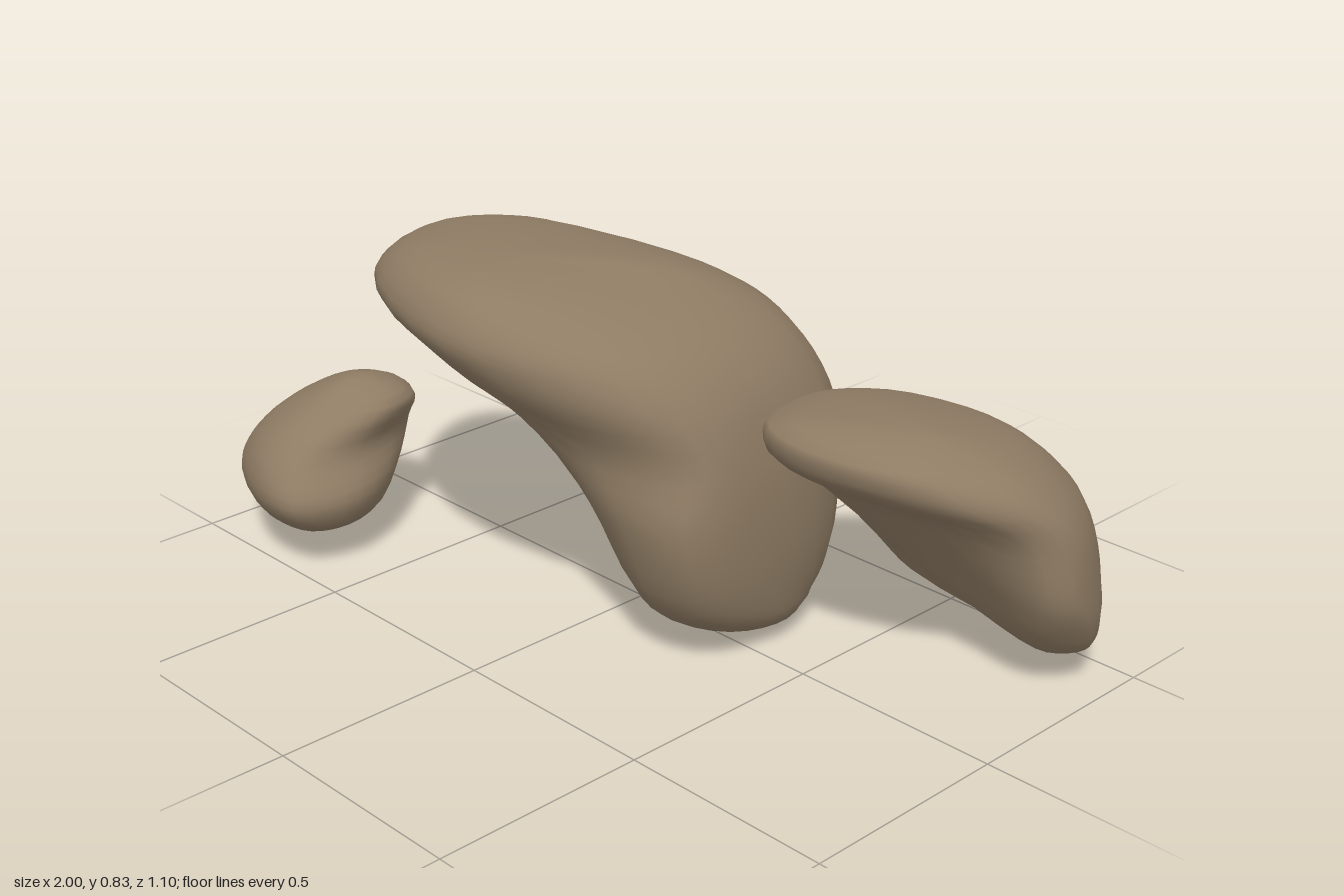
import * as THREE from 'three';

const AROUND = 32; // points round each ring, even
const STEPS = 4;   // rows between neighbouring rings

// Smooth boulder through level rings: [height, eight x,z pairs running right, front, left, back].
function boulderGeometry(top, rings, bottom) {
  const loops = rings.map(([y, ...xz]) => {
    const pts = [];
    for (let i = 0; i < xz.length; i += 2) pts.push(new THREE.Vector3(xz[i], y, xz[i + 1]));
    const curve = new THREE.CatmullRomCurve3(pts, true);
    return Array.from({ length: AROUND }, (_, i) => curve.getPoint(i / AROUND));
  });
  const topPole = new THREE.Vector3(...top);
  const bottomPole = new THREE.Vector3(...bottom);
  const rows = (rings.length + 1) * STEPS;

  // Closed meridians pass over both poles, so the ends stay round
  const columns = [];
  for (let i = 0; i < AROUND / 2; i++) {
    const down = loops.map((l) => l[i]);
    const up = loops.map((l) => l[i + AROUND / 2]).reverse();
    const meridian = new THREE.CatmullRomCurve3([topPole, ...down, bottomPole, ...up], true);
    columns[i] = [];
    columns[i + AROUND / 2] = [];
    for (let k = 0; k <= rows; k++) {
      columns[i][k] = meridian.getPoint(k / (2 * rows));
      columns[i + AROUND / 2][k] = meridian.getPoint((1 - k / (2 * rows)) % 1);
    }
  }

  // One vertex at each pole, full rows between
  const points = [topPole];
  for (let k = 1; k < rows; k++) for (let i = 0; i < AROUND; i++) points.push(columns[i][k]);
  points.push(bottomPole);
  const id = (i, k) => {
    if (k === 0) return 0;
    if (k === rows) return points.length - 1;
    return 1 + (k - 1) * AROUND + (i % AROUND);
  };
  const index = [];
  for (let k = 0; k < rows; k++) {
    for (let i = 0; i < AROUND; i++) {
      const a = id(i, k), b = id(i + 1, k), c = id(i, k + 1), d = id(i + 1, k + 1);
      if (k > 0) index.push(a, b, c);
      if (k < rows - 1) index.push(b, d, c);
    }
  }
  const geometry = new THREE.BufferGeometry().setFromPoints(points);
  geometry.setIndex(index);
  geometry.computeVertexNormals();
  return geometry;
}

export function createModel() {
  const group = new THREE.Group();
  group.name = 'boulders';
  const stone = new THREE.MeshStandardMaterial({ color: 0x8f7c64 });
  stone.name = 'brown stone';

  const add = (name, top, rings, bottom) => {
    const mesh = new THREE.Mesh(boulderGeometry(top, rings, bottom), stone);
    mesh.name = name;
    group.add(mesh);
  };

  // Large boulder: overhangs at the front left, hollow beneath
  add('largeBoulder', [-0.2, 0.83, 0.23], [
    [0.80, 0.05, 0.07, 0.02, 0.27, -0.13, 0.41, -0.44, 0.31, -0.53, 0.09, -0.42, -0.04, -0.2, -0.07, 0.03, -0.05],
    [0.72, 0.25, 0.03, 0.2, 0.3, -0.13, 0.46, -0.53, 0.32, -0.66, 0.04, -0.47, -0.15, -0.22, -0.26, 0.14, -0.21],
    [0.63, 0.34, 0.02, 0.29, 0.28, -0.06, 0.42, -0.44, 0.27, -0.62, 0, -0.5, -0.27, -0.22, -0.38, 0.23, -0.27],
    [0.50, 0.39, 0.04, 0.36, 0.22, 0.08, 0.31, -0.24, 0.21, -0.57, -0.09, -0.55, -0.35, -0.22, -0.46, 0.3, -0.3],
    [0.35, 0.41, 0.03, 0.38, 0.24, 0.18, 0.28, -0.14, 0.09, -0.54, -0.16, -0.57, -0.38, -0.22, -0.48, 0.32, -0.3],
    [0.15, 0.4, -0.02, 0.37, 0.17, 0.22, 0.21, -0.05, -0.01, -0.37, -0.19, -0.44, -0.34, -0.1, -0.42, 0.31, -0.29],
    [0.04, 0.36, -0.1, 0.32, 0.03, 0.2, 0.07, 0, -0.12, -0.17, -0.26, -0.16, -0.33, 0, -0.34, 0.26, -0.26],
  ], [0.23, 0, -0.13]);

  // Middle boulder: a bent slab leaning forward, tucked against the large one
  add('middleBoulder', [0.7, 0.6, -0.1], [
    [0.56, 0.82, -0.14, 0.76, 0.01, 0.54, 0.07, 0.39, 0.01, 0.36, -0.17, 0.45, -0.28, 0.63, -0.31, 0.77, -0.25],
    [0.50, 0.92, -0.19, 0.82, -0.02, 0.55, 0.06, 0.37, 0, 0.28, -0.25, 0.4, -0.4, 0.63, -0.45, 0.79, -0.39],
    [0.40, 0.98, -0.26, 0.92, -0.16, 0.66, -0.1, 0.43, -0.1, 0.25, -0.35, 0.4, -0.46, 0.66, -0.52, 0.83, -0.48],
    [0.25, 1, -0.29, 0.95, -0.21, 0.7, -0.22, 0.5, -0.24, 0.27, -0.37, 0.4, -0.48, 0.68, -0.555, 0.85, -0.53],
    [0.15, 0.98, -0.36, 0.92, -0.26, 0.74, -0.28, 0.57, -0.33, 0.34, -0.41, 0.42, -0.48, 0.68, -0.54, 0.85, -0.53],
    [0.08, 0.94, -0.4, 0.89, -0.33, 0.76, -0.35, 0.62, -0.4, 0.42, -0.43, 0.47, -0.47, 0.68, -0.52, 0.85, -0.51],
  ], [0.82, 0.035, -0.44]);

  // Small boulder: low and pointed, with a pinched right side
  add('smallBoulder', [-0.7, 0.41, 0.25], [
    [0.36, -0.59, 0.26, -0.63, 0.35, -0.71, 0.39, -0.79, 0.35, -0.84, 0.25, -0.8, 0.16, -0.72, 0.12, -0.62, 0.16],
    [0.27, -0.6, 0.33, -0.63, 0.48, -0.73, 0.51, -0.88, 0.43, -0.95, 0.3, -0.91, 0.16, -0.8, 0.1, -0.69, 0.12],
    [0.18, -0.55, 0.38, -0.6, 0.53, -0.73, 0.54, -0.92, 0.45, -1, 0.32, -0.93, 0.18, -0.8, 0.12, -0.65, 0.19],
    [0.10, -0.59, 0.38, -0.62, 0.47, -0.73, 0.49, -0.87, 0.43, -0.95, 0.32, -0.88, 0.23, -0.77, 0.2, -0.65, 0.25],
  ], [-0.75, 0.06, 0.34]);

  return group;
}
